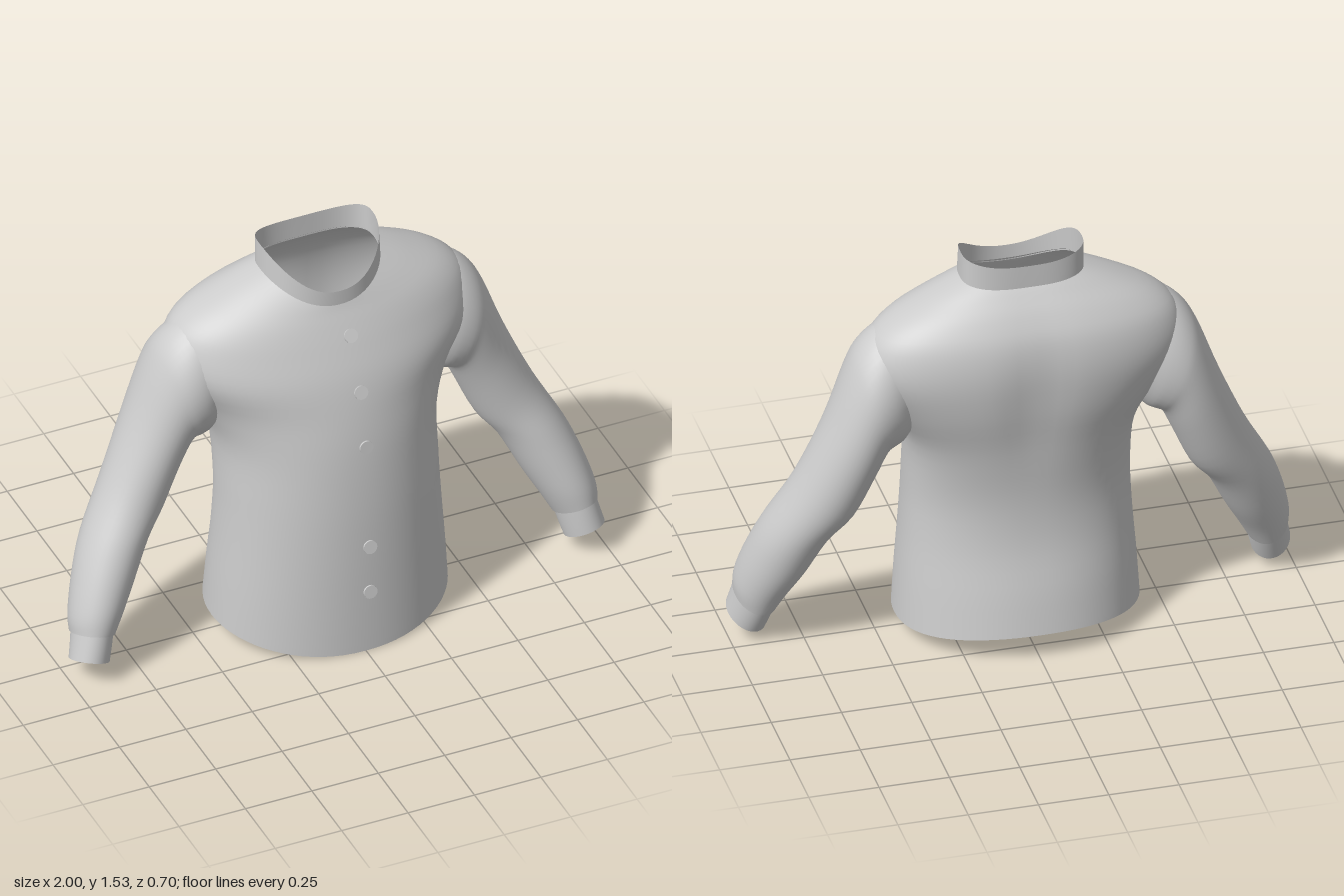
import * as THREE from 'three';

const material = new THREE.MeshStandardMaterial({ color: 0xcccccc, side: THREE.DoubleSide });

// Smoothly adds in-between rows to a list of cross-section rows (Catmull-Rom per column)
function refine(rows, steps) {
  const out = [];
  const at = (i) => rows[Math.min(Math.max(i, 0), rows.length - 1)];
  for (let i = 0; i < rows.length - 1; i++) {
    for (let k = 0; k < steps; k++) {
      const t = k / steps;
      out.push(rows[i].map((p1, c) => {
        const p0 = at(i - 1)[c], p2 = at(i + 1)[c], p3 = at(i + 2)[c];
        return p1 + 0.5 * t * (p2 - p0 + t * (2 * p0 - 5 * p1 + 4 * p2 - p3 + t * (3 * (p1 - p2) + p3 - p0)));
      }));
    }
  }
  out.push(rows[rows.length - 1]);
  return out;
}

// Skins closed rings; pointAt(row, angle) returns [x, y, z]
function loft(name, rows, segments, pointAt) {
  const pos = [], index = [];
  rows.forEach((row, j) => {
    for (let i = 0; i < segments; i++) {
      pos.push(...pointAt(row, (i / segments) * Math.PI * 2));
      if (j === rows.length - 1) continue;
      const a = j * segments + i, b = j * segments + (i + 1) % segments;
      index.push(a, b, b + segments, a, b + segments, a + segments);
    }
  });
  const geo = new THREE.BufferGeometry();
  geo.setAttribute('position', new THREE.Float32BufferAttribute(pos, 3));
  geo.setIndex(index);
  geo.computeVertexNormals();
  const mesh = new THREE.Mesh(geo, material);
  mesh.name = name;
  return mesh;
}

// Body ring: front point, side point, back point, roundness of front and back
function bodyPoint([yf, zf, ys, w, zs, yb, zb, nf, nb], a) {
  const s = Math.sin(a), c = Math.cos(a), front = c >= 0;
  const e = 2 / (front ? nf : nb);
  const x = w * Math.sign(s) * Math.abs(s) ** e;
  const k = Math.abs(c) ** e;
  const y = ys + ((front ? yf : yb) - ys) * c * c;
  let z = zs + ((front ? zf : zb) - zs) * k;
  // shallow hollow along the spine
  if (!front) z += 0.02 * Math.exp(-((x / 0.1) ** 2)) * Math.exp(-(((y - 1.05) / 0.25) ** 2));
  return [x, y, z];
}

// Sleeve ring: outer point, inner point, back and front depth, slope towards the front
function sleevePoint(side) {
  return ([xo, yo, xi, yi, zb, zf, tilt], angle) => {
    const a = angle * side, c = Math.cos(a), s = Math.sin(a), hz = (zf - zb) / 2;
    return [
      side * ((xo + xi) / 2 + ((xo - xi) / 2) * c),
      (yo + yi) / 2 + ((yo - yi) / 2) * c + tilt * hz * s,
      (zf + zb) / 2 + hz * s,
    ];
  };
}

export function createModel() {
  const model = new THREE.Group();
  model.name = 'jacket';

  // Torso, from hem to neckline, flaring out into the shoulders
  const torso = [
    [0, 0.34, 0.055, 0.43, 0, 0.1, -0.35, 2.1, 2.15],
    [0.2, 0.337, 0.22, 0.42, 0, 0.24, -0.322, 2.1, 2.15],
    [0.4, 0.332, 0.42, 0.405, 0, 0.42, -0.28, 2.1, 2.2],
    [0.6, 0.322, 0.6, 0.398, -0.01, 0.6, -0.27, 2.1, 2.2],
    [0.8, 0.302, 0.8, 0.405, -0.04, 0.8, -0.292, 2.1, 2.4],
    [0.95, 0.275, 0.95, 0.47, -0.08, 0.98, -0.325, 2, 2.5],
    [1.08, 0.24, 1.1, 0.56, -0.09, 1.13, -0.335, 2, 2.4],
    [1.19, 0.195, 1.22, 0.548, -0.09, 1.25, -0.315, 2, 2.4],
    [1.265, 0.16, 1.3, 0.475, -0.09, 1.335, -0.268, 2.1, 2.4],
    [1.315, 0.135, 1.375, 0.335, -0.085, 1.395, -0.217, 2.2, 2.4],
    [1.345, 0.122, 1.428, 0.215, -0.075, 1.42, -0.192, 2.2, 2.7],
  ];
  model.add(loft('torso', refine(torso, 4), 72, bodyPoint));

  // Standing collar, low at the front
  const collar = [
    [1.335, 0.125, 1.422, 0.218, -0.075, 1.412, -0.195, 2.2, 2.7],
    [1.395, 0.126, 1.527, 0.215, -0.085, 1.502, -0.192, 2.2, 2.7],
  ];
  model.add(loft('collar', refine(collar, 3), 72, bodyPoint));

  // Sleeves and cuffs on both sides
  const sleeve = [
    [0.45, 1.295, 0.4, 0.86, -0.225, 0.07, 0],
    [0.52, 1.262, 0.43, 0.825, -0.25, 0.085, 0],
    [0.58, 1.205, 0.46, 0.812, -0.262, 0.085, 0],
    [0.625, 1.12, 0.49, 0.795, -0.262, 0.072, 0],
    [0.7, 0.92, 0.53, 0.71, -0.25, 0.06, 0],
    [0.8, 0.69, 0.595, 0.565, -0.213, 0.068, 0.1],
    [0.9, 0.5, 0.665, 0.475, -0.162, 0.1, 0.2],
    [0.95, 0.37, 0.735, 0.335, -0.112, 0.132, 0.3],
    [0.982, 0.25, 0.79, 0.235, -0.06, 0.155, 0.4],
    [0.984, 0.19, 0.832, 0.155, -0.032, 0.162, 0.4],
  ];
  const cuff = [
    [0.978, 0.195, 0.838, 0.16, -0.026, 0.155, 0.4],
    [0.988, 0.15, 0.85, 0.108, -0.008, 0.165, 0.4],
    [1.0, 0.1, 0.863, 0.06, 0.012, 0.174, 0.42],
  ];
  for (const [label, side] of [['left', 1], ['right', -1]]) {
    model.add(loft(label + 'Sleeve', refine(sleeve, 4), 40, sleevePoint(side)));
    model.add(loft(label + 'Cuff', cuff, 40, sleevePoint(side)));
  }

  // Front buttons: height, depth, backward lean
  const buttonGeo = new THREE.CylinderGeometry(0.025, 0.025, 0.007, 20).rotateX(Math.PI / 2);
  const buttons = [[1.235, 0.18, 0.5], [1.05, 0.266, 0.33], [0.845, 0.31, 0.12], [0.44, 0.342, 0.2], [0.25, 0.344, 0.16]];
  buttons.forEach(([y, z, lean], i) => {
    const button = new THREE.Mesh(buttonGeo, material);
    button.name = 'button' + (i + 1);
    button.position.set(0.015, y, z);
    button.rotation.x = -lean;
    model.add(button);
  });

  return model;
}
